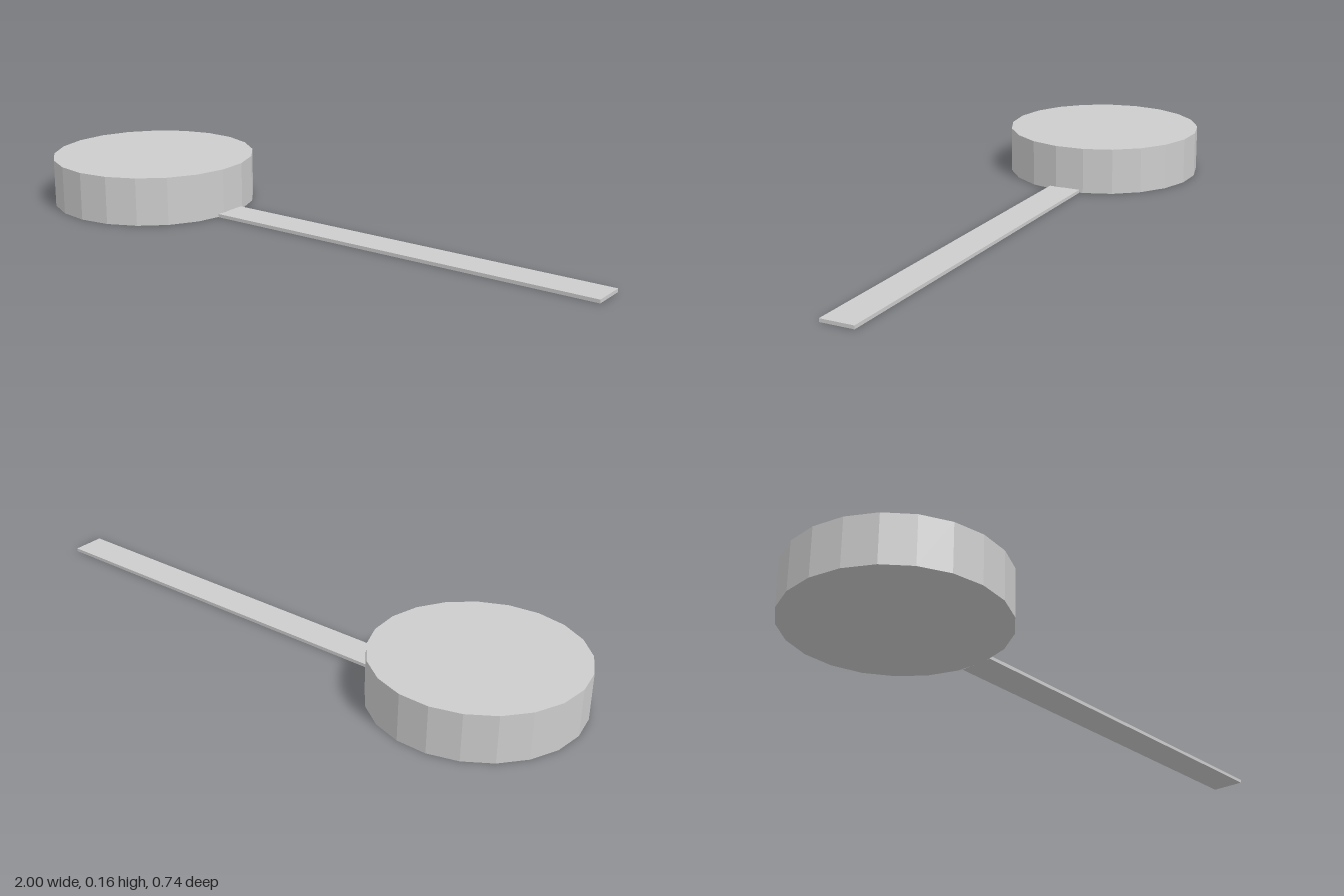
import * as THREE from 'three';

export function createModel() {
  const group = new THREE.Group();
  const grey = new THREE.MeshStandardMaterial({ color: 0xcccccc, flatShading: true });
  grey.name = 'light grey';

  const add = (name, geometry, x, y, z) => {
    const mesh = new THREE.Mesh(geometry, grey);
    mesh.name = name;
    mesh.position.set(x, y, z);
    group.add(mesh);
    return mesh;
  };

  // Faceted drum with 21 sides and one corner pointing to +x
  const radius = 0.338, height = 0.157;
  add('drum', new THREE.CylinderGeometry(radius, radius, height, 21, 1, false, Math.PI / 2),
    -0.666, height / 2, -0.033);

  // Thin flat handle, angled towards the front
  const thickness = 0.011;
  const handle = add('handle', new THREE.BoxGeometry(1.357, thickness, 0.112),
    0.325, thickness / 2, 0.175);
  handle.rotation.y = -THREE.MathUtils.degToRad(12);

  return group;
}
